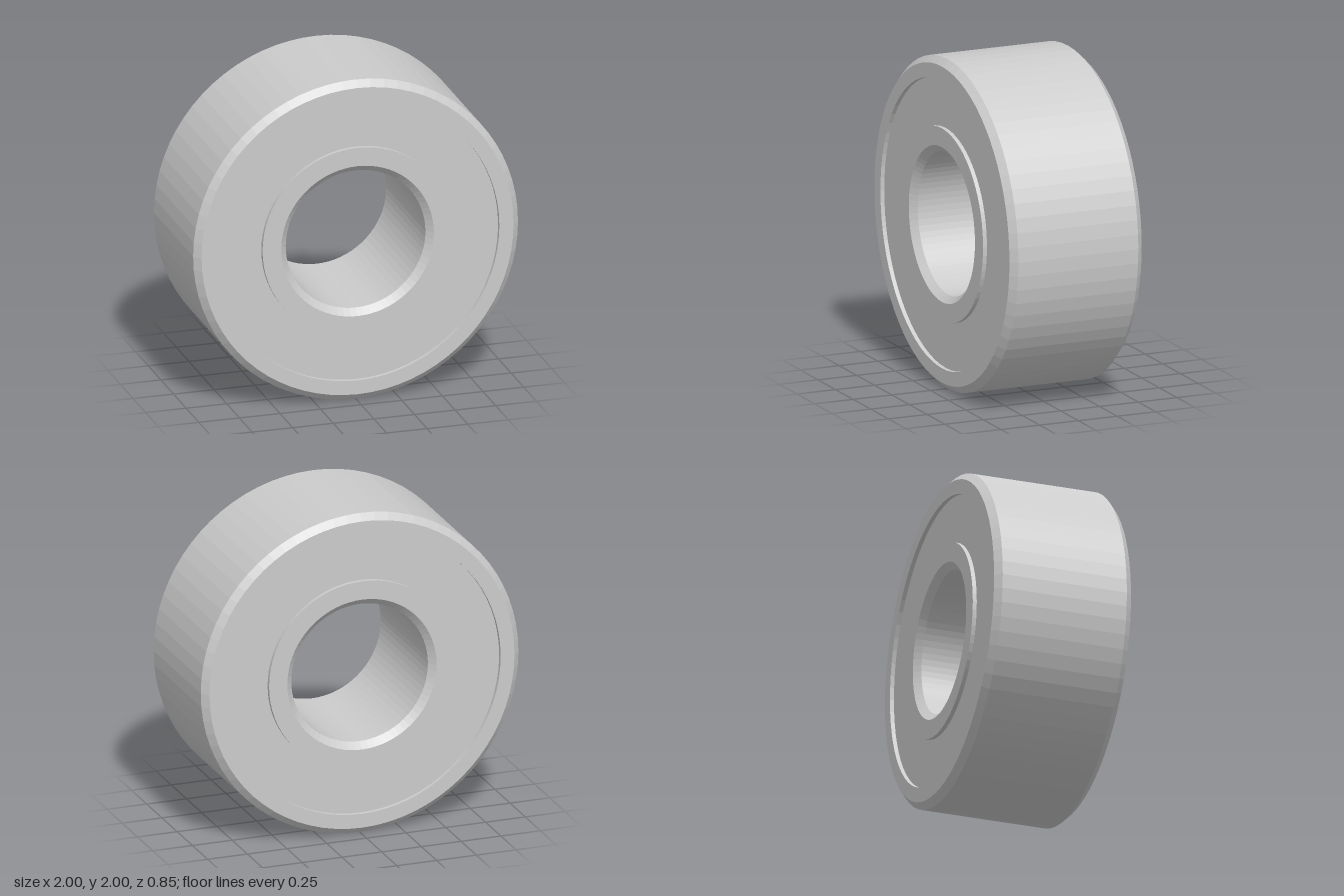
import * as THREE from 'three';

const SIDES = 72;
const HALF = 0.427;     // half the bearing width
const CHAMFER = 0.04;
const RECESS = 0.025;   // how far the shields sit below the ring faces

// Closed ring turned from a counter-clockwise [radius, axial] profile
function turnedRing(name, profile, material) {
  const points = [...profile, profile[0]].map(([r, a]) => new THREE.Vector2(r, a));
  const geometry = new THREE.LatheGeometry(points, SIDES);
  geometry.rotateX(Math.PI / 2);
  const mesh = new THREE.Mesh(geometry, material);
  mesh.name = name;
  return mesh;
}

export function createModel() {
  const material = new THREE.MeshStandardMaterial({ color: 0xcccccc, flatShading: true });
  const bearing = new THREE.Group();
  bearing.name = 'ballBearing';

  // Outer ring, chamfered on its outer rims
  bearing.add(turnedRing('outerRing', [
    [0.873, -HALF], [1 - CHAMFER, -HALF], [1, -HALF + CHAMFER],
    [1, HALF - CHAMFER], [1 - CHAMFER, HALF], [0.873, HALF],
  ], material));

  // Inner ring, chamfered at the bore
  bearing.add(turnedRing('innerRing', [
    [0.43 + CHAMFER, -HALF], [0.585, -HALF], [0.585, HALF],
    [0.43 + CHAMFER, HALF], [0.43, HALF - CHAMFER], [0.43, -HALF + CHAMFER],
  ], material));

  // Recessed shields closing the gap between the rings, front and back
  for (const [name, side] of [['frontShield', 1], ['backShield', -1]]) {
    const shield = turnedRing(name, [
      [0.585, -0.03], [0.873, -0.03], [0.873, 0.03], [0.585, 0.03],
    ], material);
    shield.position.z = side * (HALF - RECESS - 0.03);
    bearing.add(shield);
  }

  bearing.position.y = 1;
  const model = new THREE.Group();
  model.name = 'model';
  model.add(bearing);
  return model;
}
